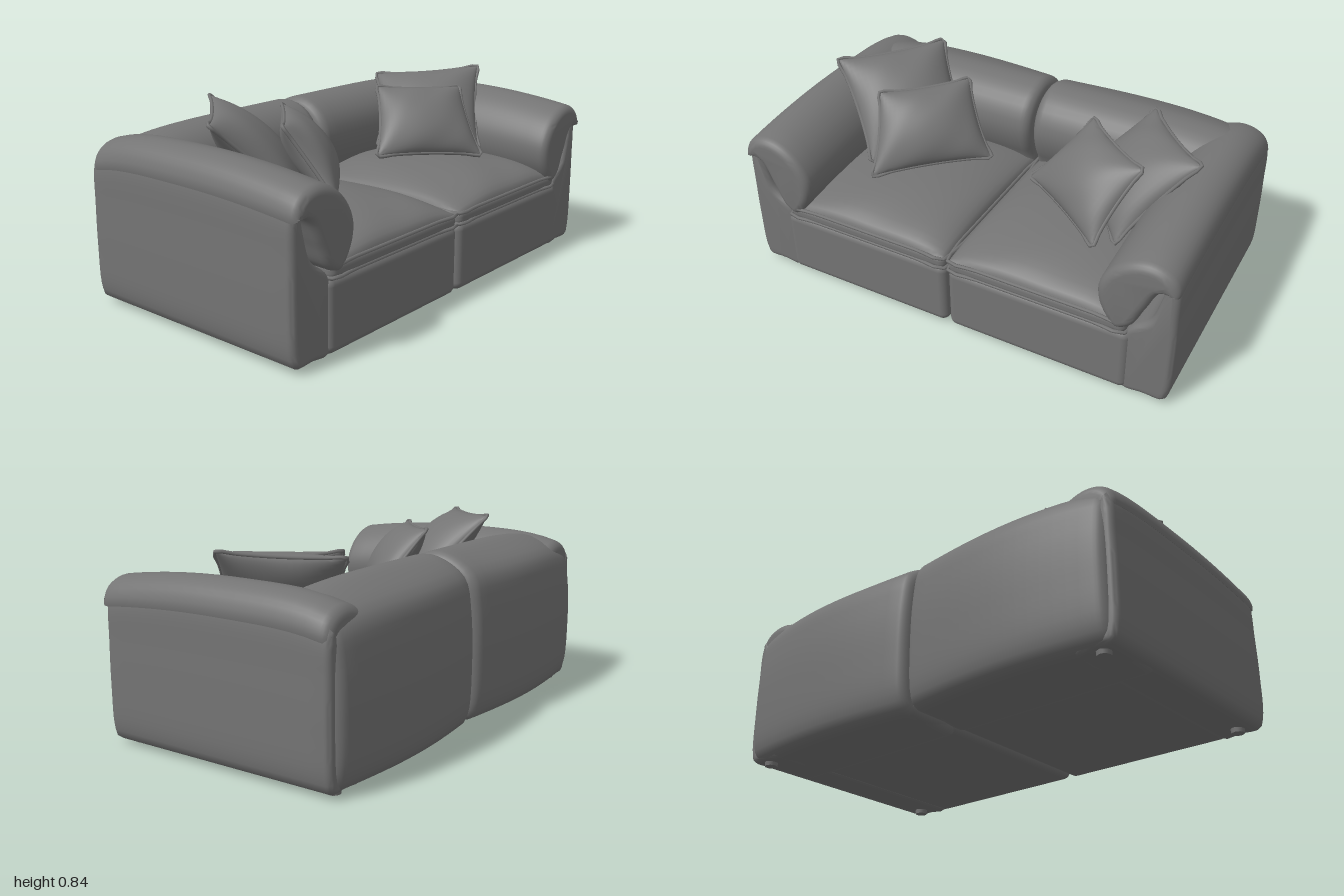
import * as THREE from 'three';
import { toCreasedNormals } from 'three/addons/utils/BufferGeometryUtils.js';
import { RoundedBoxGeometry } from 'three/addons/geometries/RoundedBoxGeometry.js';

const fabric = new THREE.MeshStandardMaterial({ color: 0x747474 });
fabric.name = 'grey fabric';

const V = (p) => new THREE.Vector3(...p);

function mesh(parent, name, geometry, x = 0, y = 0, z = 0) {
  const m = new THREE.Mesh(geometry, fabric);
  m.name = name;
  m.position.set(x, y, z);
  parent.add(m);
  return m;
}

// Closed geometry with outward faces, whatever the order of its points
function solid(points, index, crease) {
  let volume = 0;
  const n = new THREE.Vector3();
  for (let i = 0; i < index.length; i += 3) {
    const [a, b, c] = [points[index[i]], points[index[i + 1]], points[index[i + 2]]];
    volume += a.dot(n.crossVectors(b, c));
  }
  if (volume < 0) index.reverse();
  const g = new THREE.BufferGeometry().setFromPoints(points);
  g.setIndex(index);
  return toCreasedNormals(g, crease);
}

// Smooth closed outline swept through stations, with rounded ends of radius r
function loft(outline, t0, t1, r, place, count = 56) {
  const curve = new THREE.CatmullRomCurve3(outline.map(([a, b]) => V([a, b, 0])), true);
  const ring = curve.getSpacedPoints(count).slice(0, count).map((p) => new THREE.Vector2(p.x, p.y));
  if (THREE.ShapeUtils.area(ring) < 0) ring.reverse();
  const inward = ring.map((p, i) => {
    const d = ring[(i + 1) % count].clone().sub(ring[(i + count - 1) % count]).normalize();
    return new THREE.Vector2(-d.y, d.x);
  });
  const stations = [];
  for (let i = 0; i <= 5; i++) {
    const a = (i / 5) * Math.PI / 2;
    stations.push([t0 + r * (1 - Math.sin(a)), r * (1 - Math.cos(a))]);
  }
  stations.reverse();
  stations.forEach((s) => { s[1] = r - Math.sqrt(Math.max(0, r * r - (r - (s[0] - t0)) ** 2)); });
  stations.sort((a, b) => a[0] - b[0]);
  const far = stations.map(([t, inset]) => [t1 - (t - t0), inset]).reverse();
  for (let i = 1; i < 16; i++) stations.push([t0 + r + (t1 - t0 - 2 * r) * i / 16, 0]);
  stations.push(...far);

  const points = [], index = [];
  for (const [t, inset] of stations) {
    ring.forEach((p, i) => points.push(V(place(p.x + inward[i].x * inset, p.y + inward[i].y * inset, t))));
  }
  const last = (stations.length - 1) * count;
  for (let k = 0; k < last; k += count) {
    for (let i = 0; i < count; i++) {
      const j = (i + 1) % count;
      index.push(k + i, k + j, k + count + i, k + j, k + count + j, k + count + i);
    }
  }
  for (const [a, b, c] of THREE.ShapeUtils.triangulateShape(ring, [])) {
    index.push(a, c, b, last + a, last + b, last + c);
  }
  return solid(points, index, 0.8);
}

// Puffed sheet between four corners; pinch draws the middle of each edge inward
function puff(corners, front, back, pinch, power) {
  const [A, B, C, D] = corners.map(V); // A-B along the top, D-C along the bottom
  const normal = new THREE.Vector3().crossVectors(B.clone().sub(D), A.clone().sub(C)).normalize();
  const N = 22, points = [], index = [];
  const at = (u, v) => {
    const s = (u * (1 - pinch * (1 - v * v)) + 1) / 2, t = (v * (1 - pinch * (1 - u * u)) + 1) / 2;
    return A.clone().lerp(B, s).lerp(D.clone().lerp(C, s), t);
  };
  for (const depth of [front, -back]) {
    const base = points.length;
    for (let j = 0; j <= N; j++) for (let i = 0; i <= N; i++) {
      const u = -Math.cos(Math.PI * i / N), v = -Math.cos(Math.PI * j / N);
      const h = Math.pow(Math.max(0, (1 - u * u) * (1 - v * v)), power);
      const ripple = 1 + 0.05 * Math.sin(7 * u + 4 * v) * (u * u + v * v);
      points.push(at(u, v).addScaledVector(normal, depth * h * ripple));
    }
    for (let j = 0; j < N; j++) for (let i = 0; i < N; i++) {
      const a = base + j * (N + 1) + i, b = a + 1, c = a + N + 1, d = c + 1;
      if (depth > 0) index.push(a, c, b, b, c, d);
      else index.push(a, b, c, b, d, c);
    }
  }
  const rim = [];
  for (const [u0, v0, du, dv] of [[-1, -1, 1, 0], [1, -1, 0, 1], [1, 1, -1, 0], [-1, 1, 0, -1]]) {
    for (let i = 0; i < 6; i++) rim.push(at(u0 + du * i / 3, v0 + dv * i / 3));
  }
  return { body: solid(points, index, 1), rim };
}

function piping(points, radius) {
  return new THREE.TubeGeometry(new THREE.CatmullRomCurve3(points, true), 72, radius, 6, true);
}

function throwPillow(parent, name, corners, depth) {
  const group = new THREE.Group();
  group.name = name;
  const { body, rim } = puff(corners, depth, depth, 0.07, 0.55);
  mesh(group, 'pillowBody', body);
  mesh(group, 'pillowPiping', piping(rim, 0.008));
  parent.add(group);
}

// Arm tops sink towards the front and the back corner
const sink = (y, z) => y - Math.max(0, y - 0.3) / 0.42 * (z > 0 ? 0.045 * (z / 0.57) ** 2 : 0.05 * (z / 0.53) ** 4);

const armBody = [[0.79, 0.02], [0.88, 0.02], [0.965, 0.022], [0.985, 0.07], [0.992, 0.25], [0.99, 0.45], [0.985, 0.61],
  [0.965, 0.665], [0.94, 0.65], [0.915, 0.54], [0.88, 0.42], [0.79, 0.33], [0.775, 0.18]];
const armRoll = [[0.987, 0.6], [0.975, 0.67], [0.935, 0.71], [0.87, 0.727], [0.79, 0.705], [0.715, 0.64], [0.67, 0.54],
  [0.685, 0.43], [0.75, 0.34], [0.81, 0.37], [0.86, 0.48], [0.92, 0.6]];
const backRest = [[-0.22, 0.02], [-0.4, 0.02], [-0.515, 0.022], [-0.545, 0.07], [-0.56, 0.3], [-0.55, 0.52], [-0.525, 0.64],
  [-0.46, 0.7], [-0.36, 0.735], [-0.26, 0.715], [-0.19, 0.65], [-0.165, 0.56], [-0.185, 0.46], [-0.22, 0.38], [-0.22, 0.2]];

function buildModule(side) {
  const half = new THREE.Group();
  half.name = side > 0 ? 'leftModule' : 'rightModule';

  mesh(half, 'seatBase', new RoundedBoxGeometry(0.81, 0.3, 1.09, 5, 0.035), side * 0.409, 0.17, 0.032);

  // Seat cushion: firm edge, soft crown and two seams
  mesh(half, 'seatCushionEdge', new RoundedBoxGeometry(0.785, 0.07, 0.87, 4, 0.03), side * 0.4, 0.338, 0.14);
  const x0 = side > 0 ? 0.01 : -0.79, x1 = x0 + 0.78;
  const seat = [[x0, 0.358, -0.3], [x1, 0.358, -0.3], [x1, 0.358, 0.57], [x0, 0.358, 0.57]];
  mesh(half, 'seatCushionTop', puff(seat, 0.115, 0.02, 0, 0.42).body);
  for (const y of [0.318, 0.365]) {
    const seam = puff(seat.map(([x, , z]) => [x, y, z]), 0.01, 0.01, 0, 1).rim;
    mesh(half, 'seatCushionPiping', piping(seam, 0.008));
  }

  // Back rest, its rear face swelling in the middle
  mesh(half, 'backRest', loft(backRest, 0.006, 0.965, 0.045, (z, y, t) => {
    const swell = Math.sin(Math.PI * Math.min(1, Math.max(0, t / 0.97)));
    const rear = THREE.MathUtils.smoothstep(-z, 0.4, 0.53);
    const drop = Math.max(0, y - 0.3) / 0.42 * 0.05 * (t / 0.97) ** 6;
    return [side * t, y - drop, z - 0.038 * swell * rear];
  }));

  // Arm body with a padded roll draped over it
  mesh(half, 'armBody', loft(armBody, -0.535, 0.565, 0.028, (x, y, z) => [side * x, sink(y, z), z]));
  mesh(half, 'armRoll', loft(armRoll, -0.53, 0.588, 0.036, (x, y, z) => [side * x, sink(y, z), z]));

  for (const z of [-0.48, 0.485]) {
    mesh(half, 'foot', new THREE.CylinderGeometry(0.032, 0.027, 0.04, 16), side * 0.895, 0.02, z);
  }
  return half;
}

export function createModel() {
  const sofa = new THREE.Group();
  sofa.name = 'sofa';
  sofa.add(buildModule(1), buildModule(-1));

  // Corners run along the top, then back along the bottom
  throwPillow(sofa, 'rightLargePillow',
    [[-0.87, 0.81, 0.04], [-0.53, 0.83, -0.32], [-0.27, 0.49, -0.1], [-0.57, 0.47, 0.25]], 0.1);
  throwPillow(sofa, 'rightSmallPillow',
    [[-0.58, 0.77, 0.14], [-0.29, 0.78, -0.14], [-0.1, 0.5, 0], [-0.5, 0.48, 0.35]], 0.085);
  throwPillow(sofa, 'leftLargePillow',
    [[0.54, 0.78, -0.29], [0.87, 0.815, 0.08], [0.61, 0.47, 0.27], [0.29, 0.49, -0.08]], 0.1);
  throwPillow(sofa, 'leftSmallPillow',
    [[0.33, 0.765, -0.12], [0.65, 0.75, 0.12], [0.54, 0.47, 0.33], [0.12, 0.5, 0.05]], 0.085);
  return sofa;
}
